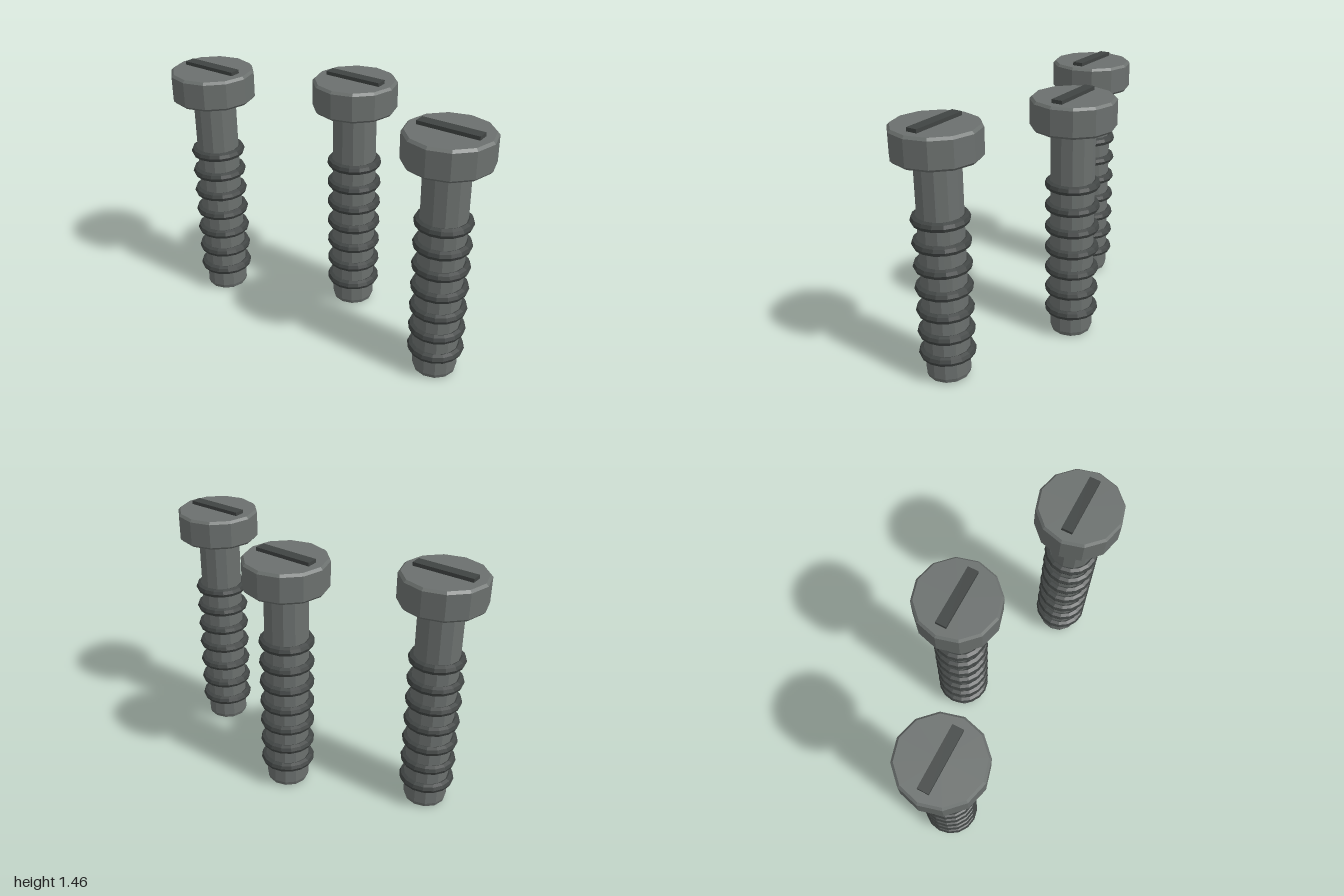
import * as THREE from 'three';

const steel = new THREE.MeshStandardMaterial({ name: 'grey steel', color: 0x6b706e, flatShading: true });
const darkSteel = new THREE.MeshStandardMaterial({ name: 'dark steel', color: 0x404443, flatShading: true });

// Twelve-sided solid turned from [radius, height] pairs, listed bottom to top
function turned(name, profile) {
  const points = profile.map(([r, y]) => new THREE.Vector2(r, y));
  const mesh = new THREE.Mesh(new THREE.LatheGeometry(points, 12), steel);
  mesh.name = name;
  return mesh;
}

function createScrew(name) {
  const screw = new THREE.Group();
  screw.name = name;

  // Shank with a chamfered tip
  screw.add(turned('shank', [[0, 0], [0.1, 0], [0.117, 0.012], [0.124, 0.035], [0.124, 1.28]]));

  // Wide head with bevelled rims
  screw.add(turned('head', [
    [0, 1.267], [0.225, 1.267], [0.238, 1.281], [0.238, 1.423], [0.225, 1.437], [0, 1.437],
  ]));

  // Thread ridges
  const ridgeGeometry = new THREE.TorusGeometry(0.13, 0.027, 8, 16).rotateX(Math.PI / 2);
  for (let i = 0; i < 7; i++) {
    const ridge = new THREE.Mesh(ridgeGeometry, darkSteel);
    ridge.name = `threadRidge${i + 1}`;
    ridge.position.y = 0.155 + i * 0.1305;
    screw.add(ridge);
  }

  // Raised bar marking the driver slot
  const slot = new THREE.Mesh(new THREE.BoxGeometry(0.345, 0.035, 0.062), darkSteel);
  slot.name = 'slotBar';
  slot.position.y = 1.44;
  screw.add(slot);
  return screw;
}

export function createModel() {
  const model = new THREE.Group();
  model.name = 'screwSet';
  const places = [['rightScrew', -0.762, 0.162], ['middleScrew', 0, -0.162], ['leftScrew', 0.762, 0.162]];
  for (const [name, x, z] of places) {
    const screw = createScrew(name);
    screw.position.set(x, 0, z);
    model.add(screw);
  }
  return model;
}
